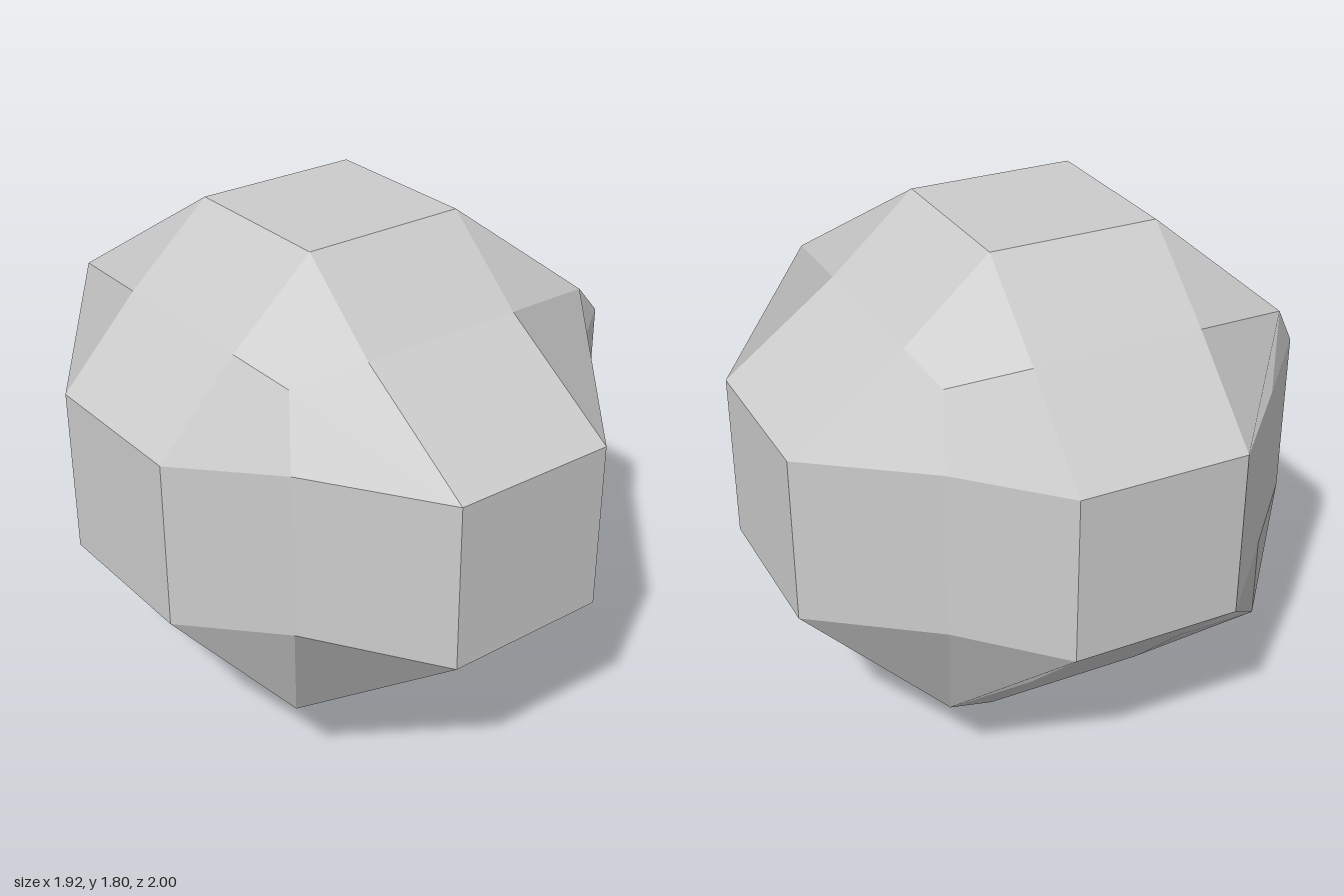
import * as THREE from 'three';

// Grid lines of the blocky core along x, y and z
const grid = [
  [-0.67, -0.365, 0.245, 0.55],
  [0.31, 0.615, 1.225, 1.53],
  [-0.685, -0.38, 0.23, 0.535],
];
// How far the middle square of each side is pushed out (low, high)
const outer = [[-0.96, 0.96], [0, 1.8], [-1, 1]];
const names = [['rightSide', 'leftSide'], ['bottomSide', 'topSide'], ['backSide', 'frontSide']];

// One side: a 3 x 3 grid of facets whose centre square is raised
function sideGeometry(axis, high) {
  const u = (axis + 1) % 3, v = (axis + 2) % 3;
  const positions = [], normals = [];
  const isInner = (k) => k === 1 || k === 2;

  const point = (i, j) => {
    const p = new THREE.Vector3();
    p.setComponent(u, grid[u][i]);
    p.setComponent(v, grid[v][j]);
    const raised = isInner(i) && isInner(j);
    p.setComponent(axis, raised ? outer[axis][high] : grid[axis][high ? 3 : 0]);
    return p;
  };

  for (let i = 0; i < 3; i++) {
    for (let j = 0; j < 3; j++) {
      let q = [point(i, j), point(i + 1, j), point(i + 1, j + 1), point(i, j + 1)];
      // Split corner facets from the outer corner to the raised square
      if (i !== j && i + j === 2) q = [q[1], q[2], q[3], q[0]];
      if (!high) q = [q[0], q[3], q[2], q[1]];
      // One flat normal per facet
      const n = q[2].clone().sub(q[0]).cross(q[3].clone().sub(q[1])).normalize();
      for (const k of [0, 1, 2, 0, 2, 3]) {
        positions.push(...q[k].toArray());
        normals.push(...n.toArray());
      }
    }
  }
  const geometry = new THREE.BufferGeometry();
  geometry.setAttribute('position', new THREE.Float32BufferAttribute(positions, 3));
  geometry.setAttribute('normal', new THREE.Float32BufferAttribute(normals, 3));
  return geometry;
}

export function createModel() {
  const model = new THREE.Group();
  model.name = 'facetedBoulder';
  const material = new THREE.MeshStandardMaterial({ color: 0xcccccc });

  for (let axis = 0; axis < 3; axis++) {
    for (let high = 0; high < 2; high++) {
      const side = new THREE.Mesh(sideGeometry(axis, high), material);
      side.name = names[axis][high];
      model.add(side);
    }
  }
  return model;
}
